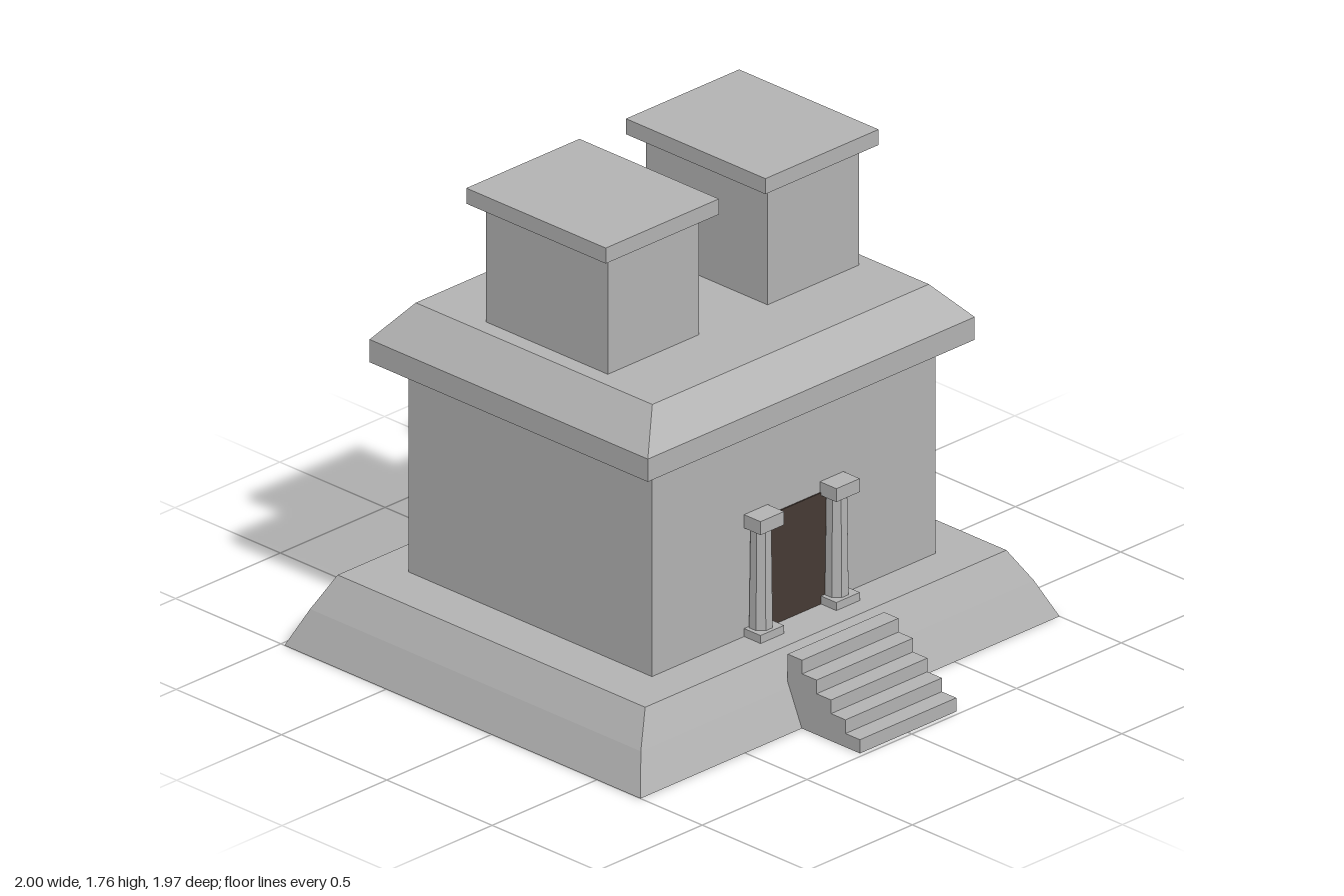
import * as THREE from 'three';

const stone = new THREE.MeshStandardMaterial({ color: 0xb2b2b2 });
stone.name = 'grey stone';
const doorDark = new THREE.MeshStandardMaterial({ color: 0x463a34 });
doorDark.name = 'dark doorway';

// Box given by its limits on each axis
function block(name, x0, x1, y0, y1, z0, z1, material = stone) {
  const mesh = new THREE.Mesh(new THREE.BoxGeometry(x1 - x0, y1 - y0, z1 - z0), material);
  mesh.position.set((x0 + x1) / 2, (y0 + y1) / 2, (z0 + z1) / 2);
  mesh.name = name;
  return mesh;
}

// Closed solid through stacked rectangles, each [y, halfWidth, zBack, zFront]
function stacked(name, rings) {
  const pos = [];
  const corners = rings.map(([y, w, zb, zf]) => [[-w, y, zf], [w, y, zf], [w, y, zb], [-w, y, zb]]);
  const quad = (a, b, c, d) => [a, b, c, a, c, d].forEach((p) => pos.push(...p));
  for (let i = 0; i < corners.length - 1; i++) {
    const lo = corners[i], hi = corners[i + 1];
    for (let k = 0; k < 4; k++) {
      const n = (k + 1) % 4;
      quad(lo[k], lo[n], hi[n], hi[k]);
    }
  }
  quad(...corners[corners.length - 1]);
  quad(...[...corners[0]].reverse());
  const geo = new THREE.BufferGeometry();
  geo.setAttribute('position', new THREE.Float32BufferAttribute(pos, 3));
  geo.computeVertexNormals();
  const mesh = new THREE.Mesh(geo, stone);
  mesh.name = name;
  return mesh;
}

// Stepped side profile extruded across the width
function makeStairs() {
  const back = 0.64, front = 0.983, count = 5, rise = 0.255 / count;
  const run = (front - back) / count;
  const shape = new THREE.Shape();
  shape.moveTo(-back, 0);
  shape.lineTo(-front, 0);
  for (let i = 0; i < count; i++) {
    shape.lineTo(-front + i * run, (i + 1) * rise);
    shape.lineTo(-front + (i + 1) * run, (i + 1) * rise);
  }
  const geo = new THREE.ExtrudeGeometry(shape, { depth: 0.46, bevelEnabled: false });
  geo.translate(0, 0, -0.23);
  geo.rotateY(Math.PI / 2); // profile -x becomes +z
  const mesh = new THREE.Mesh(geo, stone);
  mesh.name = 'stairs';
  return mesh;
}

// Slightly tapered eight-sided column with plinth and capital
function makeColumn(side) {
  const column = new THREE.Group();
  column.name = side > 0 ? 'leftColumn' : 'rightColumn';
  column.add(block('plinth', -0.056, 0.056, 0.255, 0.285, 0.43, 0.518));
  column.add(block('capital', -0.056, 0.056, 0.66, 0.71, 0.43, 0.518));
  const geo = new THREE.CylinderGeometry(0.038, 0.043, 0.375, 8, 1, true, Math.PI / 8).toNonIndexed();
  geo.computeVertexNormals();
  const shaft = new THREE.Mesh(geo, stone);
  shaft.name = 'shaft';
  shaft.position.set(0, 0.4725, 0.464);
  column.add(shaft);
  column.position.x = 0.181 * side;
  return column;
}

export function createModel() {
  const model = new THREE.Group();
  model.name = 'temple';

  // Sloping plinth, walls and roof
  model.add(stacked('base', [
    [0, 1, -0.983, 0.707],
    [0.135, 0.938, -0.923, 0.647],
    [0.255, 0.862, -0.868, 0.592],
  ]));
  model.add(block('walls', -0.677, 0.677, 0.255, 1.045, -0.715, 0.44));
  model.add(stacked('roof', [
    [1.045, 0.78, -0.798, 0.523],
    [1.13, 0.78, -0.798, 0.523],
    [1.26, 0.66, -0.698, 0.425],
  ]));

  // Entrance
  model.add(makeStairs());
  model.add(block('doorway', -0.15, 0.15, 0.255, 0.67, 0.437, 0.445, doorDark));

  for (const side of [1, -1]) {
    model.add(makeColumn(side));
    // Roof tower with overhanging cap
    const tower = new THREE.Group();
    tower.name = side > 0 ? 'leftTower' : 'rightTower';
    tower.add(block('towerWalls', -0.218, 0.218, 1.26, 1.705, -0.424, 0.153));
    tower.add(block('towerCap', -0.27, 0.27, 1.705, 1.763, -0.467, 0.195));
    tower.position.x = 0.381 * side;
    model.add(tower);
  }
  return model;
}
